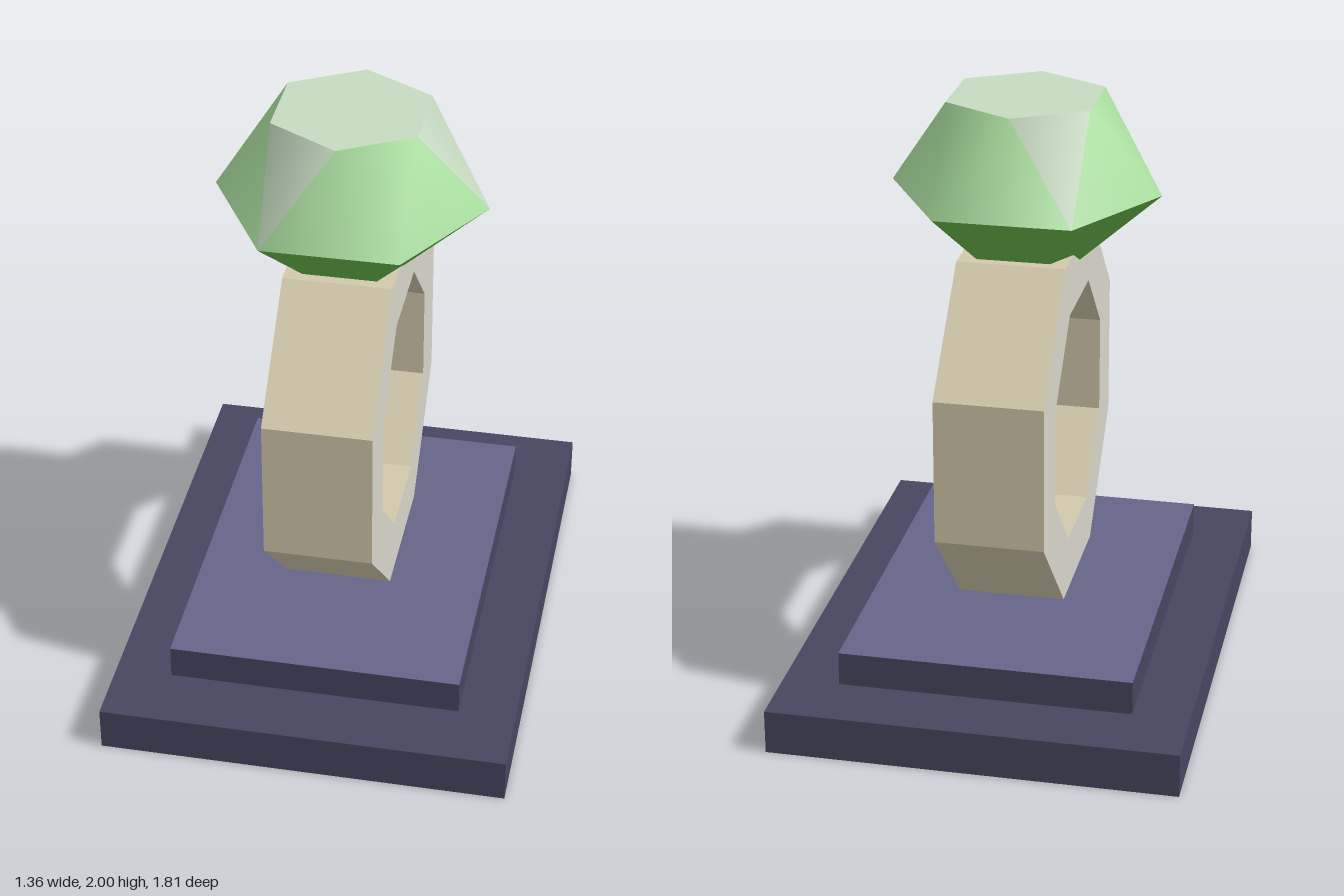
import * as THREE from 'three';

const mat = (name, color) => {
  const m = new THREE.MeshStandardMaterial({ color });
  m.name = name;
  return m;
};

export function createModel() {
  const slate = mat('dark slate', 0x474660);
  const cushion = mat('cushion violet', 0x66658a);
  const gold = mat('pale gold', 0xd1c9ac);
  const silver = mat('warm silver', 0xd8d4cb);
  const green = mat('light green', 0xabe0a0);
  const sheen = mat('pale sheen', 0xc6dac1);
  const deep = mat('deep green', 0x6abc4a);

  const model = new THREE.Group();
  model.name = 'ringOnStand';
  const add = (name, geometry, material, y = 0, parent = model) => {
    const mesh = new THREE.Mesh(geometry, material);
    mesh.name = name;
    mesh.position.y = y;
    parent.add(mesh);
    return mesh;
  };

  // Two-step stand; the upper step has a lighter top face
  add('lowerBase', new THREE.BoxGeometry(1.36, 0.15, 1.81), slate, 0.075);
  add('upperBase', new THREE.BoxGeometry(0.98, 0.115, 1.36),
    [slate, slate, cushion, slate, slate, slate], 0.2075);

  // Octagonal band: silver sides, gold inner and outer faces
  const octagon = (radius) => Array.from({ length: 8 }, (_, i) => {
    const a = (i + 0.5) * Math.PI / 4;
    return new THREE.Vector2(radius * Math.cos(a), radius * Math.sin(a));
  });
  const shape = new THREE.Shape(octagon(0.643));
  shape.holes.push(new THREE.Path(octagon(0.438)));
  const band = new THREE.ExtrudeGeometry(shape, { depth: 0.36, bevelEnabled: false });
  band.translate(0, 0, -0.18).rotateY(Math.PI / 2);
  add('band', band, [silver, gold], 0.907);

  // Gem: flat-faceted pavilion, smooth crown and flat table
  const gem = new THREE.Group();
  gem.name = 'gem';
  model.add(gem);
  const girdleY = 1.685, girdleR = 0.45, tableR = 0.272;

  const pavilion = new THREE.CylinderGeometry(girdleR, 0, 0.4, 6, 1, true, Math.PI / 2)
    .toNonIndexed();
  pavilion.computeVertexNormals();
  add('pavilion', pavilion, deep, girdleY - 0.2, gem);

  // Crown: girdle hexagon joined to a table hexagon turned by half a step
  const points = [];
  const hexagon = (radius, y, turn) => {
    for (let k = 0; k < 6; k++) {
      const a = (k + turn) * Math.PI / 3;
      points.push(radius * Math.cos(a), y, -radius * Math.sin(a));
    }
  };
  hexagon(girdleR, girdleY, 0);
  hexagon(tableR, 2, 0.5);
  const greenFaces = [], sheenFaces = [];
  for (let k = 0; k < 6; k++) {
    greenFaces.push(k, (k + 1) % 6, 6 + k);
    (k % 2 ? greenFaces : sheenFaces).push(6 + (k + 5) % 6, k, 6 + k);
  }
  const crown = new THREE.BufferGeometry();
  crown.setAttribute('position', new THREE.Float32BufferAttribute(points, 3));
  crown.setIndex([...greenFaces, ...sheenFaces]);
  crown.addGroup(0, greenFaces.length, 0);
  crown.addGroup(greenFaces.length, sheenFaces.length, 1);
  crown.computeVertexNormals();
  add('crown', crown, [green, sheen], 0, gem);

  const table = new THREE.CircleGeometry(tableR, 6, Math.PI / 6).rotateX(-Math.PI / 2);
  add('table', table, sheen, 2, gem);

  return model;
}
